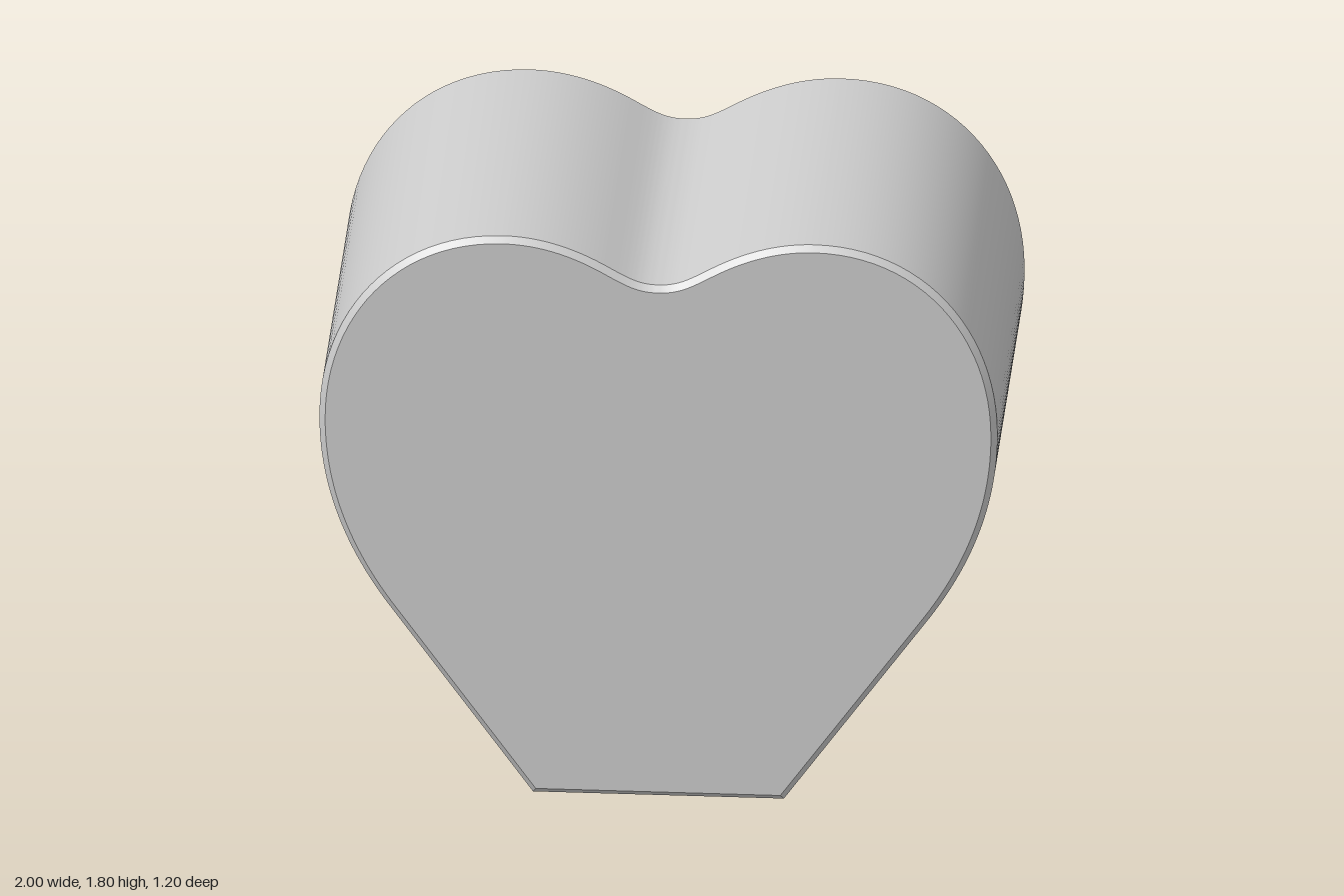
import * as THREE from 'three';
import { toCreasedNormals } from 'three/addons/utils/BufferGeometryUtils.js';

const DEPTH = 1.2;
const BEVEL = 0.018;

// Heart outline with a flat foot, counter-clockwise from the foot.
function heartShape() {
  const s = new THREE.Shape();
  s.moveTo(-0.37, 0);
  s.lineTo(0.37, 0);
  s.lineTo(0.8, 0.6);
  s.bezierCurveTo(0.94, 0.8, 1, 1.0, 1, 1.2);
  s.bezierCurveTo(1, 1.54, 0.78, 1.8, 0.46, 1.8);
  s.bezierCurveTo(0.34, 1.8, 0.24, 1.76, 0.16, 1.715);
  s.bezierCurveTo(0.09, 1.675, 0.06, 1.655, 0, 1.655);
  s.bezierCurveTo(-0.06, 1.655, -0.09, 1.675, -0.16, 1.715);
  s.bezierCurveTo(-0.24, 1.76, -0.34, 1.8, -0.46, 1.8);
  s.bezierCurveTo(-0.78, 1.8, -1, 1.54, -1, 1.2);
  s.bezierCurveTo(-1, 1.0, -0.94, 0.8, -0.8, 0.6);
  s.closePath();
  return s;
}

export function createModel() {
  const group = new THREE.Group();
  group.name = 'heartBlock';

  // Solid body; the narrow chamfer is cut inwards so the outline stays true.
  const geometry = new THREE.ExtrudeGeometry(heartShape(), {
    depth: DEPTH - 2 * BEVEL,
    curveSegments: 24,
    bevelEnabled: true,
    bevelThickness: BEVEL,
    bevelSize: BEVEL,
    bevelOffset: -BEVEL,
    bevelSegments: 1,
  });
  geometry.translate(0, 0, -DEPTH / 2 + BEVEL);

  const body = new THREE.Mesh(
    toCreasedNormals(geometry, 0.4),
    new THREE.MeshStandardMaterial({ color: 0xcccccc })
  );
  body.name = 'heartBody';
  group.add(body);
  return group;
}
